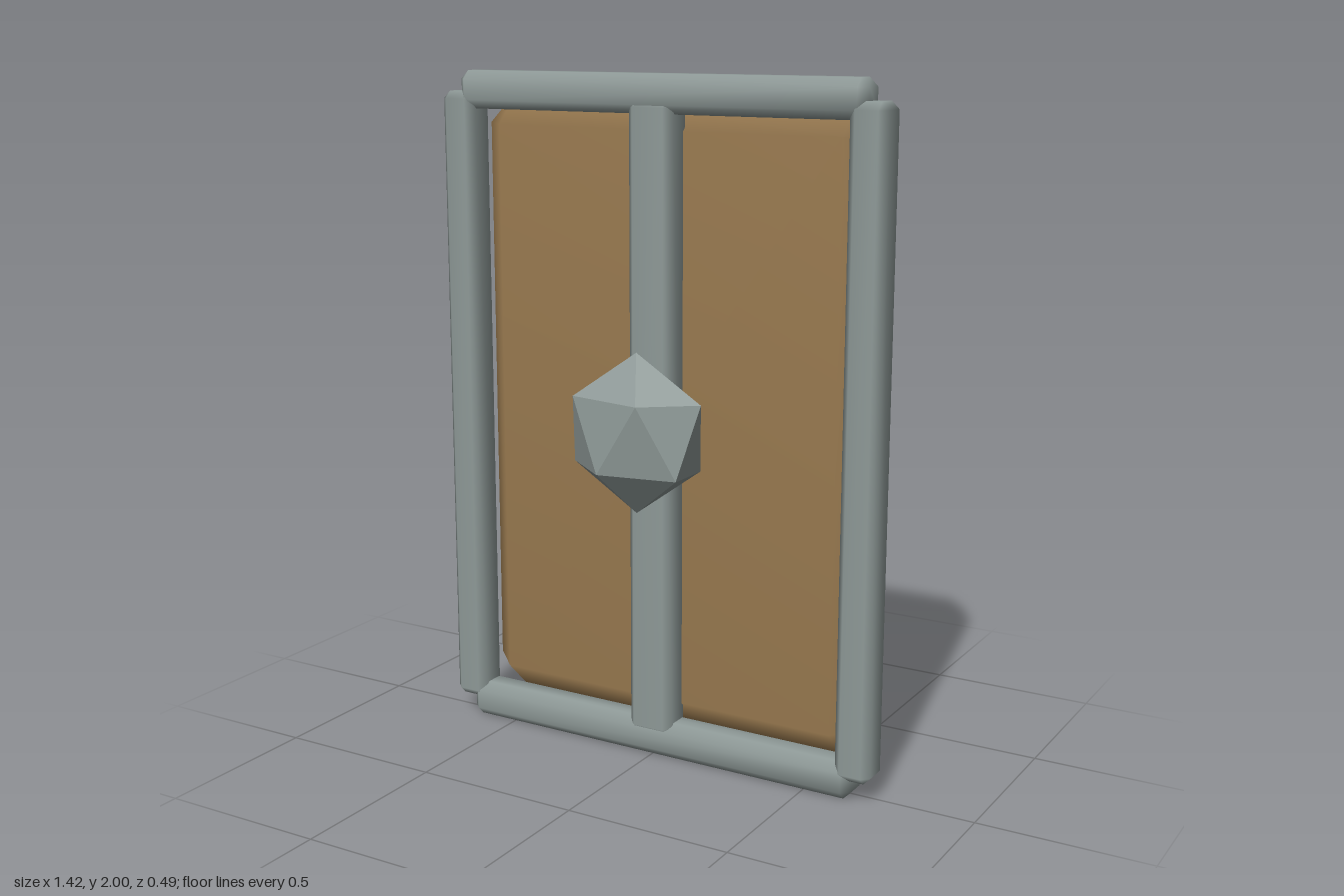
import * as THREE from 'three';
import { mergeVertices } from 'three/addons/utils/BufferGeometryUtils.js';
import { ConvexGeometry } from 'three/addons/geometries/ConvexGeometry.js';

const wood = new THREE.MeshStandardMaterial({ color: 0x98794f });
wood.name = 'wood';
const iron = new THREE.MeshStandardMaterial({ color: 0x8e9997 });
iron.name = 'iron';

// Box with every edge cut at 45 degrees, shaded softly across the cuts
function chamferBox(w, h, d, c) {
  const half = [w / 2, h / 2, d / 2];
  const points = [];
  for (let axis = 0; axis < 3; axis++)
    for (const sx of [-1, 1]) for (const sy of [-1, 1]) for (const sz of [-1, 1]) {
      const p = [sx, sy, sz].map((s, i) => s * (half[i] - (i === axis ? 0 : c)));
      points.push(new THREE.Vector3(...p));
    }
  let geometry = new ConvexGeometry(points);
  geometry.deleteAttribute('normal');
  geometry = mergeVertices(geometry, 1e-4);
  geometry.computeVertexNormals();
  return geometry;
}

// Twenty-sided boss: two poles and two staggered rings of five
function bossGeometry(r, depthScale) {
  const points = [new THREE.Vector3(0, r, 0), new THREE.Vector3(0, -r, 0)];
  for (let i = 0; i < 10; i++) {
    const a = (i * Math.PI) / 5;
    const y = (i % 2 ? -1 : 1) * 0.447 * r;
    points.push(new THREE.Vector3(0.894 * r * Math.cos(a), y, 0.894 * r * depthScale * Math.sin(a)));
  }
  return new ConvexGeometry(points);
}

export function createModel() {
  const model = new THREE.Group();
  model.name = 'shield';
  const add = (name, geometry, material, x, y, z) => {
    const mesh = new THREE.Mesh(geometry, material);
    mesh.name = name;
    mesh.position.set(x, y, z);
    model.add(mesh);
  };

  // Wooden panel behind the frame
  add('panel', chamferBox(1.3, 1.88, 0.24, 0.097), wood, 0, 1, -0.125);

  // Frame rails
  const side = chamferBox(0.11, 1.88, 0.108, 0.022);
  const cross = chamferBox(1.3, 0.11, 0.104, 0.025);
  for (const s of [-1, 1]) {
    add(s > 0 ? 'leftRail' : 'rightRail', side, iron, s * 0.655, 1, 0.018);
    add(s > 0 ? 'topRail' : 'bottomRail', cross, iron, 0, 1 + s * 0.945, 0.016);
  }
  add('centreBar', chamferBox(0.142, 1.86, 0.108, 0.022), iron, 0, 1, 0.018);

  // Faceted boss
  add('boss', bossGeometry(0.233, 0.57), iron, 0, 1.002, 0.132);
  return model;
}
